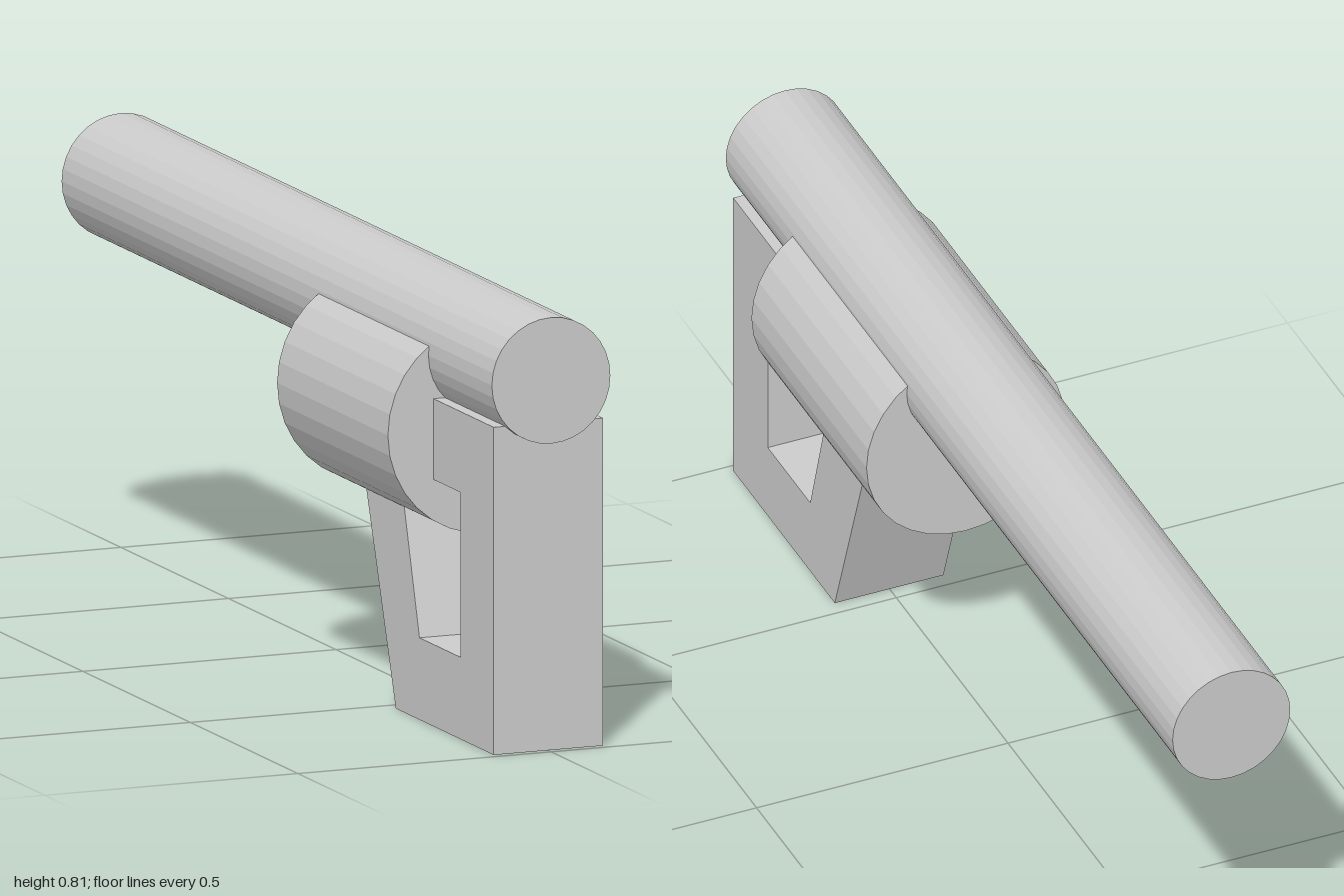
import * as THREE from 'three';

const material = new THREE.MeshStandardMaterial({ color: 0xcccccc, flatShading: true });

// Closed cylinder lying along z
function rod(name, radius, y, zBack, zFront) {
  const geometry = new THREE.CylinderGeometry(radius, radius, zFront - zBack, 32);
  geometry.rotateX(Math.PI / 2);
  geometry.translate(0, y, (zBack + zFront) / 2);
  const mesh = new THREE.Mesh(geometry, material);
  mesh.name = name;
  return mesh;
}

// Slab with a side profile of [z, y] points and an opening, extruded across x
function slab(name, outline, opening, xMin, xMax) {
  const toPoints = (list) => list.map(([z, y]) => new THREE.Vector2(z, y));
  const shape = new THREE.Shape(toPoints(outline));
  shape.holes.push(new THREE.Path(toPoints(opening)));
  const geometry = new THREE.ExtrudeGeometry(shape, { depth: xMax - xMin, bevelEnabled: false });
  geometry.rotateY(-Math.PI / 2);
  geometry.translate(xMax, 0, 0);
  const mesh = new THREE.Mesh(geometry, material);
  mesh.name = name;
  return mesh;
}

export function createModel() {
  const model = new THREE.Group();
  model.name = 'model';

  // Long tube on top and the thicker drum under it
  model.add(rod('tube', 0.117, 0.689, -1, 1));
  model.add(rod('drum', 0.197, 0.547, 0.19, 0.705));

  // Handle loop: upright front post, base and slanted arm, joined inside the drum
  model.add(slab(
    'handle',
    [[0.985, 0], [0.985, 0.608], [0.312, 0.608], [0.53, 0]],
    [[0.83, 0.152], [0.83, 0.458], [0.546, 0.458], [0.64, 0.152]],
    -0.107, 0.109,
  ));

  return model;
}
